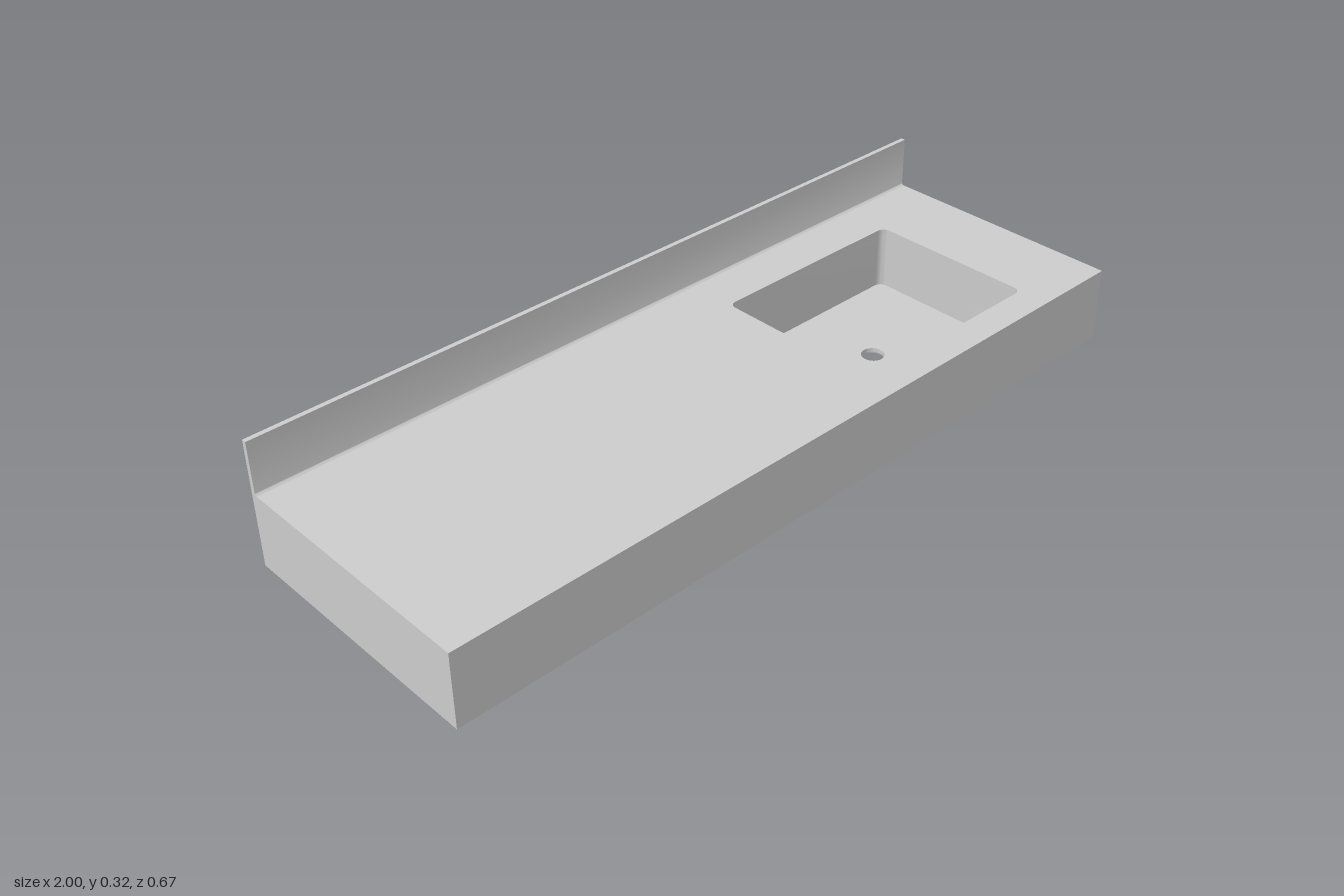
import * as THREE from 'three';
import { toCreasedNormals } from 'three/addons/utils/BufferGeometryUtils.js';

const T = 0.012;              // sheet thickness
const TOP = 0.19;             // worktop height
const BACK = -0.333, FRONT = 0.333;
const BASIN = { x: 0.5, z: 0.03, w: 0.556, d: 0.444, bottom: 0.015 };

const material = new THREE.MeshStandardMaterial({ color: 0xcccccc });

function add(parent, name, geometry, x = 0, y = 0, z = 0) {
  const mesh = new THREE.Mesh(geometry, material);
  mesh.name = name;
  mesh.position.set(x, y, z);
  parent.add(mesh);
  return mesh;
}

// Counter-clockwise outline of a rounded rectangle centred on the origin
function roundedRect(w, d, r, steps = 6) {
  const points = [];
  [[1, 1], [-1, 1], [-1, -1], [1, -1]].forEach(([sx, sy], corner) => {
    for (let i = 0; i <= steps; i++) {
      const a = (corner + i / steps) * Math.PI / 2;
      points.push(new THREE.Vector2(
        sx * (w / 2 - r) + r * Math.cos(a),
        sy * (d / 2 - r) + r * Math.sin(a)));
    }
  });
  return points;
}

// Horizontal plate with a hole, its underside at y = 0
function plate(outline, hole, height) {
  const shape = new THREE.Shape(outline);
  shape.holes.push(new THREE.Path(hole));
  const geometry = new THREE.ExtrudeGeometry(shape, { depth: height, bevelEnabled: false });
  geometry.rotateX(-Math.PI / 2);
  return toCreasedNormals(geometry, 0.6);
}

// Concave rounding between the basin walls and its floor
function floorFillet(w, d, cornerR, r, steps = 5) {
  const positions = [], index = [];
  let count = 0;
  for (let j = 0; j <= steps; j++) {
    const a = j / steps * Math.PI / 2;
    const inset = r * (1 - Math.cos(a));
    const ring = roundedRect(w - 2 * inset, d - 2 * inset, cornerR - inset);
    count = ring.length;
    ring.forEach(p => positions.push(p.x, r * (1 - Math.sin(a)), -p.y));
  }
  for (let j = 0; j < steps; j++) {
    for (let i = 0; i < count; i++) {
      const a = j * count + i, b = j * count + (i + 1) % count;
      index.push(a, a + count, b, b, a + count, b + count);
    }
  }
  const geometry = new THREE.BufferGeometry();
  geometry.setAttribute('position', new THREE.Float32BufferAttribute(positions, 3));
  geometry.setIndex(index);
  geometry.computeVertexNormals();
  return geometry;
}

export function createModel() {
  const model = new THREE.Group();
  model.name = 'washstandTop';

  // Worktop with the basin opening
  const opening = roundedRect(BASIN.w, BASIN.d, 0.02)
    .map(p => new THREE.Vector2(p.x + BASIN.x, p.y - BASIN.z));
  const slab = [[-1, -FRONT], [1, -FRONT], [1, -BACK - T], [-1, -BACK - T]]
    .map(([x, y]) => new THREE.Vector2(x, y));
  add(model, 'worktop', plate(slab, opening, T), 0, TOP - T, 0);

  // Upstand along the back, with a small cove where it meets the worktop
  const cove = 0.008, face = BACK + T;
  const profile = new THREE.Shape();
  profile.moveTo(BACK, TOP - T);
  profile.lineTo(face, TOP - T);
  profile.lineTo(face, TOP);
  profile.lineTo(face + cove, TOP);
  profile.absarc(face + cove, TOP + cove, cove, -Math.PI / 2, -Math.PI, true);
  profile.lineTo(face, 0.323);
  profile.lineTo(BACK, 0.323);
  const upstand = new THREE.ExtrudeGeometry(profile, { depth: 2, bevelEnabled: false, curveSegments: 6 });
  upstand.rotateY(-Math.PI / 2);
  add(model, 'backUpstand', toCreasedNormals(upstand, 0.6), 1, 0, 0);

  // Front and end aprons; the back and underside stay open
  const drop = TOP - T;
  add(model, 'frontApron', new THREE.BoxGeometry(2, drop, T), 0, drop / 2, FRONT - T / 2);
  for (const [side, name] of [[1, 'leftApron'], [-1, 'rightApron']]) {
    const length = FRONT - BACK - T;
    add(model, name, new THREE.BoxGeometry(T, drop, length), side * (1 - T / 2), drop / 2, -T / 2);
  }

  // Basin hung below the opening
  const basin = new THREE.Group();
  basin.name = 'basin';
  basin.position.set(BASIN.x, BASIN.bottom, BASIN.z);
  model.add(basin);
  const inner = roundedRect(BASIN.w, BASIN.d, 0.02);
  const outer = roundedRect(BASIN.w + 2 * T, BASIN.d + 2 * T, 0.032);
  const drain = roundedRect(0.058, 0.058, 0.029, 8);
  add(basin, 'basinWalls', plate(outer, inner, TOP - T - BASIN.bottom - T), 0, T, 0);
  add(basin, 'basinFloor', plate(outer, drain, T));
  add(basin, 'basinFloorFillet', floorFillet(BASIN.w, BASIN.d, 0.02, 0.014), 0, T, 0);

  return model;
}
